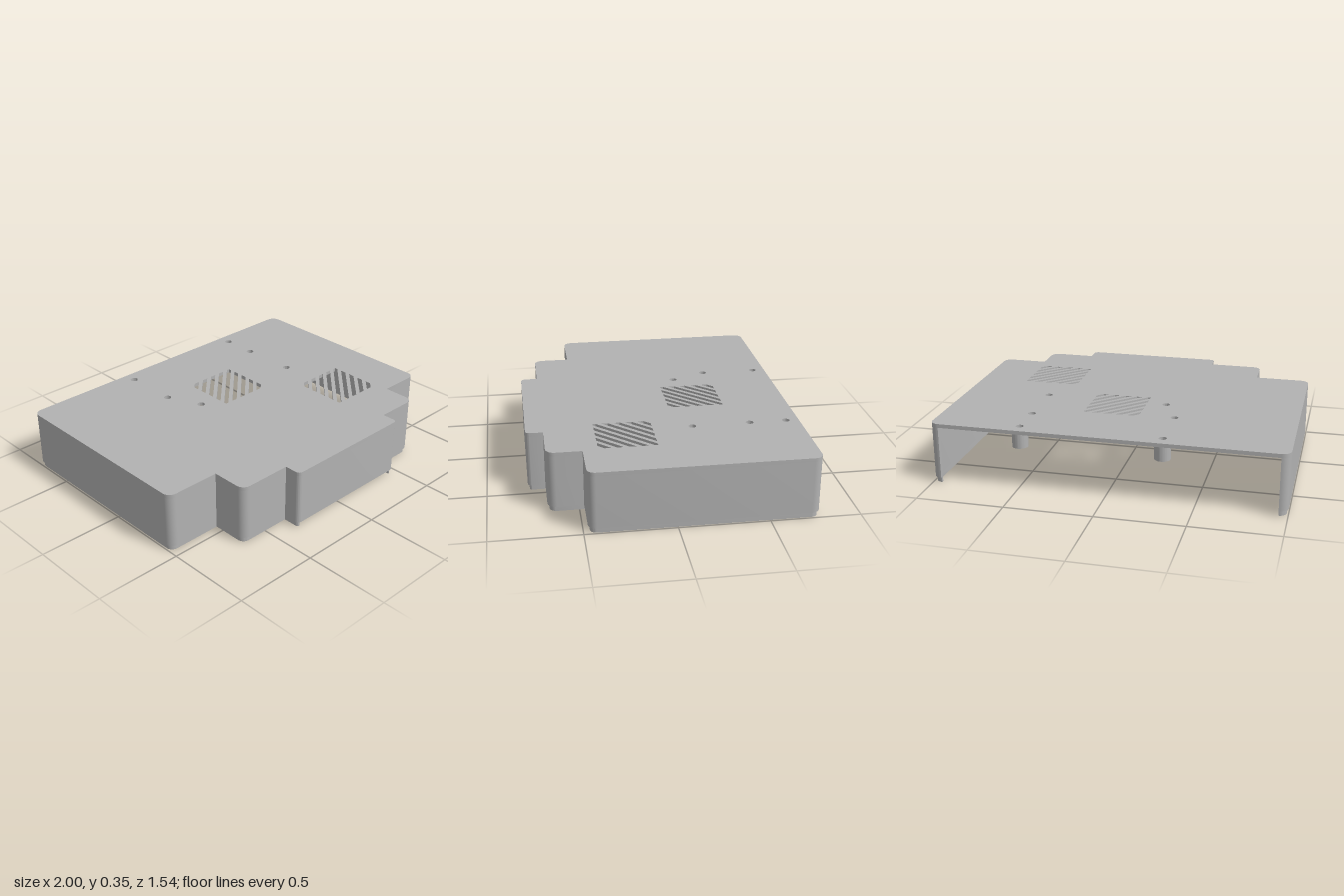
import * as THREE from 'three';
import { toCreasedNormals } from 'three/addons/utils/BufferGeometryUtils.js';

const TOP = 0.355, PLATE = 0.022, LIP = 0.03, WALL = 0.024;

// Rectilinear footprint corners: x, z, radius (0 marks a sharp inner corner)
const CORNERS = [
  [1, -0.775, 0.05], [1, 0.475, 0.045], [0.735, 0.475, 0], [0.735, 0.672, 0.05],
  [0.465, 0.672, 0], [0.465, 0.77, 0.026], [-0.355, 0.77, 0.026], [-0.355, 0.672, 0],
  [-0.675, 0.672, 0.05], [-0.675, 0.46, 0], [-1, 0.46, 0.05], [-1, -0.775, 0.05],
];

// Points round the footprint, inset by d, for a range of corners
function outline(d, first = 0, last = CORNERS.length - 1) {
  const n = CORNERS.length, pts = [];
  for (let i = first; i <= last; i++) {
    const [x, z, r] = CORNERS[i];
    const [px, pz] = CORNERS[(i + n - 1) % n], [qx, qz] = CORNERS[(i + 1) % n];
    const a = new THREE.Vector2(x - px, z - pz).normalize();
    const b = new THREE.Vector2(qx - x, qz - z).normalize();
    // the inward normal of an edge (x, z) is (-z, x)
    const c = new THREE.Vector2(x - d * (a.y + b.y), z + d * (a.x + b.x));
    if (!r) { pts.push(c); continue; }
    const rad = Math.max(r - d, 0.002);
    const centre = c.clone().addScaledVector(a, -rad).addScaledVector(b, rad);
    for (let k = 0; k <= 8; k++) {
      const t = (k / 8) * Math.PI / 2;
      pts.push(centre.clone().addScaledVector(b, -rad * Math.cos(t)).addScaledVector(a, rad * Math.sin(t)));
    }
  }
  return pts;
}

// Strip between two insets, open at its ends
const strip = (d0, d1, first, last) =>
  new THREE.Shape([...outline(d0, first, last), ...outline(d1, first, last).reverse()]);

// Extrude an x-z shape downwards from y = top
function slab(shape, top, height) {
  const g = new THREE.ExtrudeGeometry(shape, { depth: height, bevelEnabled: false, curveSegments: 24 });
  g.rotateX(Math.PI / 2).translate(0, top, 0);
  return toCreasedNormals(g, 0.6);
}

const circle = (path, x, z, r) => path.absarc(x, z, r, 0, Math.PI * 2, false);

// Diagonal slots clipped to a square vent
function ventSlots(cx, cz, h) {
  const pitch = 0.068, half = 0.018, slots = [];
  const endA = s => (s < 0 ? [-h, s + h] : [s - h, h]);
  const endB = s => (s < 0 ? [s + h, -h] : [h, s - h]);
  for (let k = -4; k <= 4; k++) {
    const s = k * pitch;
    const levels = k === 0 ? [-half, 0, half] : [s - half, s + half];
    const pts = [...levels.map(endA), ...levels.reverse().map(endB)];
    slots.push(new THREE.Path(pts.map(([x, z]) => new THREE.Vector2(cx + x, cz + z))));
  }
  return slots;
}

export function createModel() {
  const group = new THREE.Group();
  const grey = new THREE.MeshStandardMaterial({ color: 0xb2b2b2 });
  grey.name = 'grey';
  const add = (name, geometry) => {
    const mesh = new THREE.Mesh(geometry, grey);
    mesh.name = name;
    group.add(mesh);
    return mesh;
  };

  const shortPosts = [[-0.31, -0.7], [0.495, -0.7], [0.495, -0.49], [-0.31, -0.375]];
  const plainHoles = [[-0.22, -0.17], [0.5, -0.16]];
  const longPosts = [[0.538, 0.415], [-0.004, 0.67], [-0.585, 0.595]];

  // Top plate with screw holes and two slotted vents
  const plate = new THREE.Shape(outline(0));
  for (const [x, z] of [...shortPosts, ...plainHoles]) plate.holes.push(circle(new THREE.Path(), x, z, 0.022));
  plate.holes.push(...ventSlots(0.055, -0.233, 0.162), ...ventSlots(0.555, 0.228, 0.163));
  add('topPlate', slab(plate, TOP, PLATE));

  // Side and front wall, open at the back
  const under = TOP - PLATE;
  add('wall', slab(strip(0, WALL, 0, 11), under, under - LIP));

  // Inset lips under the wall, leaving the front centre free
  add('leftLip', slab(strip(0.01, WALL, 0, 5), LIP, LIP));
  add('rightLip', slab(strip(0.01, WALL, 6, 11), LIP, LIP));

  // Short hollow standoffs
  for (const [x, z] of shortPosts) {
    const ring = circle(new THREE.Shape(), x, z, 0.045);
    ring.holes.push(circle(new THREE.Path(), x, z, 0.022));
    add('shortStandoff', slab(ring, under, 0.095));
  }

  // Long solid support posts
  const length = under - 0.025;
  for (const [x, z] of longPosts) {
    add('longPost', new THREE.CylinderGeometry(0.035, 0.035, length, 24)).position.set(x, under - length / 2, z);
  }
  return group;
}
